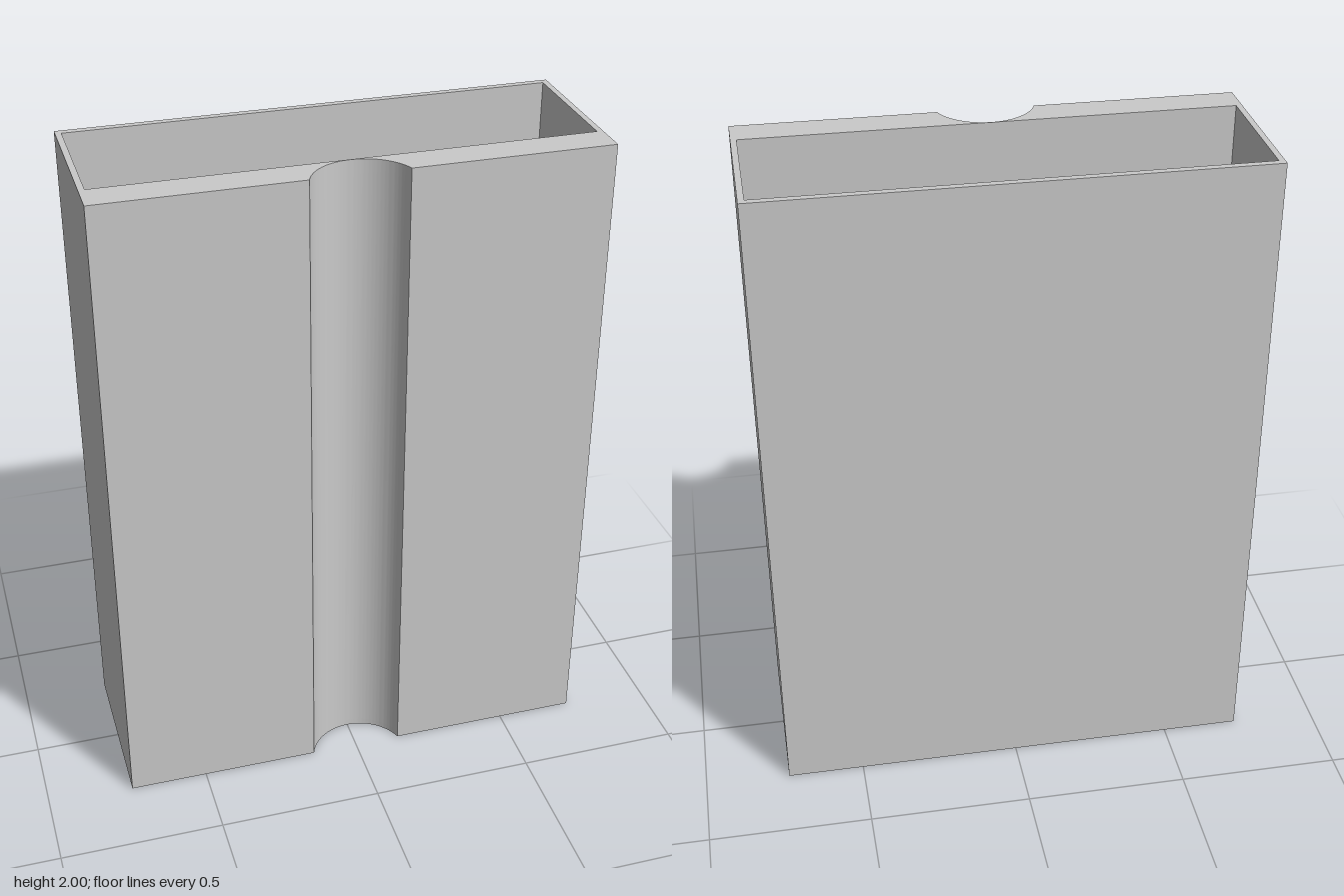
import * as THREE from 'three';
import { toCreasedNormals } from 'three/addons/utils/BufferGeometryUtils.js';

const W = 0.738, D = 0.263, H = 2, FLOOR = 0.02;
const GROOVE_R = 0.15, GROOVE_Z = 0.312;

// Footprint with a round groove in the front edge (shape y is -z)
function footprint() {
  const a = Math.asin((GROOVE_Z - D) / GROOVE_R);
  const s = new THREE.Shape();
  s.moveTo(-W, D);
  s.lineTo(-W, -D);
  s.absarc(0, -GROOVE_Z, GROOVE_R, Math.PI - a, a, true);
  s.lineTo(W, -D);
  s.lineTo(W, D);
  s.closePath();
  return s;
}

// Raises a footprint from y0 to y1
function raise(shape, y0, y1) {
  const g = new THREE.ExtrudeGeometry(shape, { depth: y1 - y0, bevelEnabled: false, curveSegments: 32 });
  g.rotateX(-Math.PI / 2).translate(0, y0, 0);
  return toCreasedNormals(g, 0.4);
}

export function createModel() {
  const group = new THREE.Group();
  group.name = 'groovedBox';
  const grey = new THREE.MeshStandardMaterial({ color: 0xcacaca });
  grey.name = 'grey';

  // Walls around the rectangular cavity
  const ring = footprint();
  const x = 0.72, back = 0.242, front = -0.16;
  ring.holes.push(new THREE.Path([
    new THREE.Vector2(-x, front), new THREE.Vector2(-x, back),
    new THREE.Vector2(x, back), new THREE.Vector2(x, front),
  ]));
  const walls = new THREE.Mesh(raise(ring, FLOOR, H), grey);
  walls.name = 'walls';

  // Closed bottom
  const floor = new THREE.Mesh(raise(footprint(), 0, FLOOR), grey);
  floor.name = 'floor';

  group.add(walls, floor);
  return group;
}
